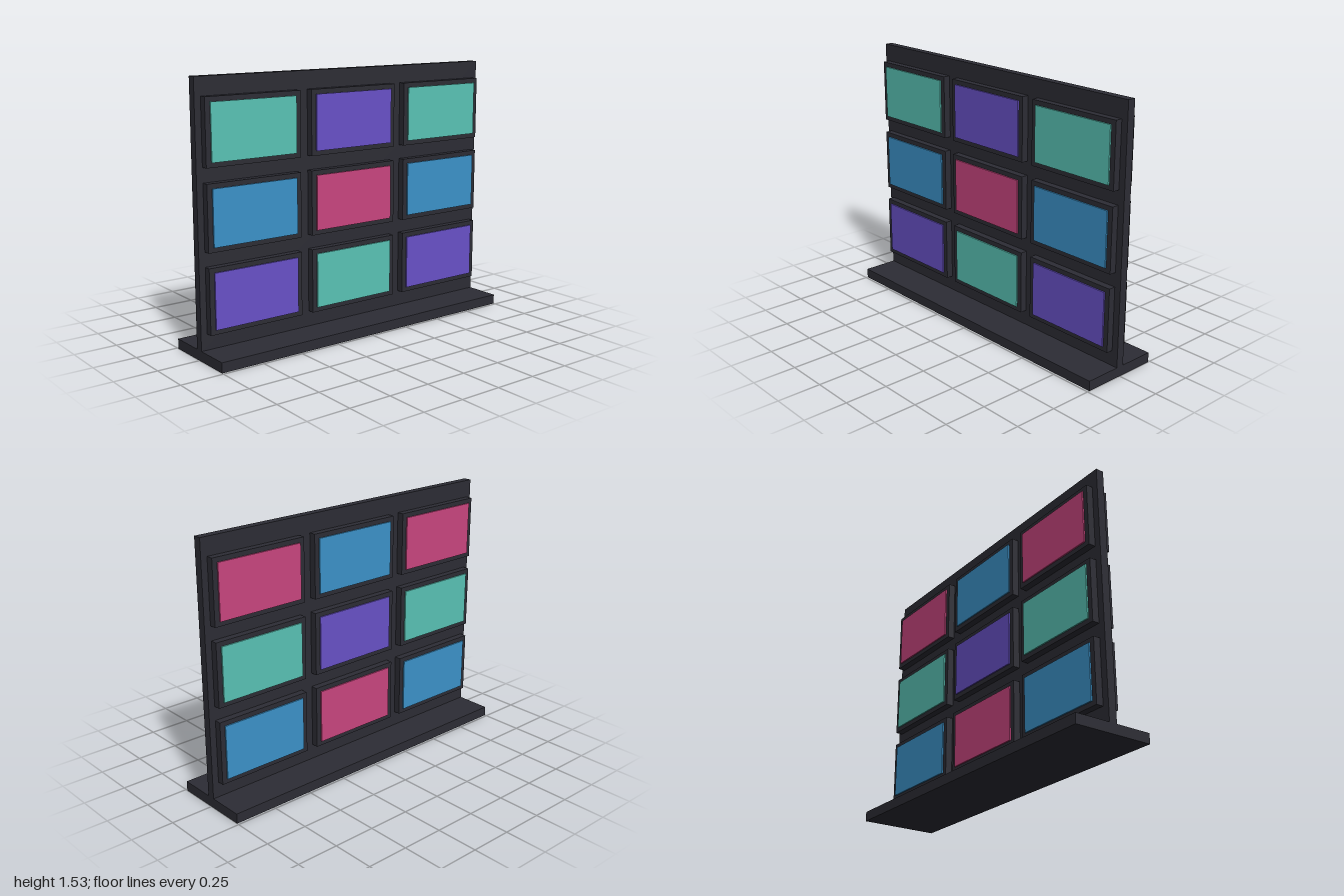
import * as THREE from 'three';

const mat = (name, color) => Object.assign(new THREE.MeshStandardMaterial({ color }), { name });

export function createModel() {
  const model = new THREE.Group();
  model.name = 'displayStand';
  const dark = mat('charcoal', 0x2d2d35);
  const teal = mat('teal', 0x5ac4b6);
  const blue = mat('blue', 0x3c93cb);
  const pink = mat('pink', 0xcb4680);
  const purple = mat('purple', 0x6952c9);

  const box = (parent, name, size, pos, material) => {
    const mesh = new THREE.Mesh(new THREE.BoxGeometry(...size), material);
    mesh.name = name;
    mesh.position.set(...pos);
    parent.add(mesh);
  };

  // Foot plate and upright board
  box(model, 'base', [0.474, 0.058, 2], [0, 0.029, 0], dark);
  box(model, 'board', [0.048, 1.469, 2], [0, 0.7925, 0], dark);

  // Screens: rows from top to bottom, columns from front (+z) to back
  const sides = [
    { name: 'leftScreens', sign: 1, rows: [[teal, purple, teal], [blue, pink, blue], [purple, teal, purple]] },
    { name: 'rightScreens', sign: -1, rows: [[pink, blue, pink], [teal, purple, teal], [blue, pink, blue]] },
  ];
  for (const { name, sign, rows } of sides) {
    const group = new THREE.Group();
    group.name = name;
    rows.forEach((row, r) => row.forEach((color, c) => {
      const y = 1.24 - r * 0.4525;
      const z = (1 - c) * 0.668;
      box(group, 'screenFrame', [0.041, 0.37, 0.594], [sign * 0.0485, y, z], dark);
      box(group, 'screenPanel', [0.008, 0.316, 0.534], [sign * 0.073, y, z], color);
    }));
    model.add(group);
  }
  return model;
}
